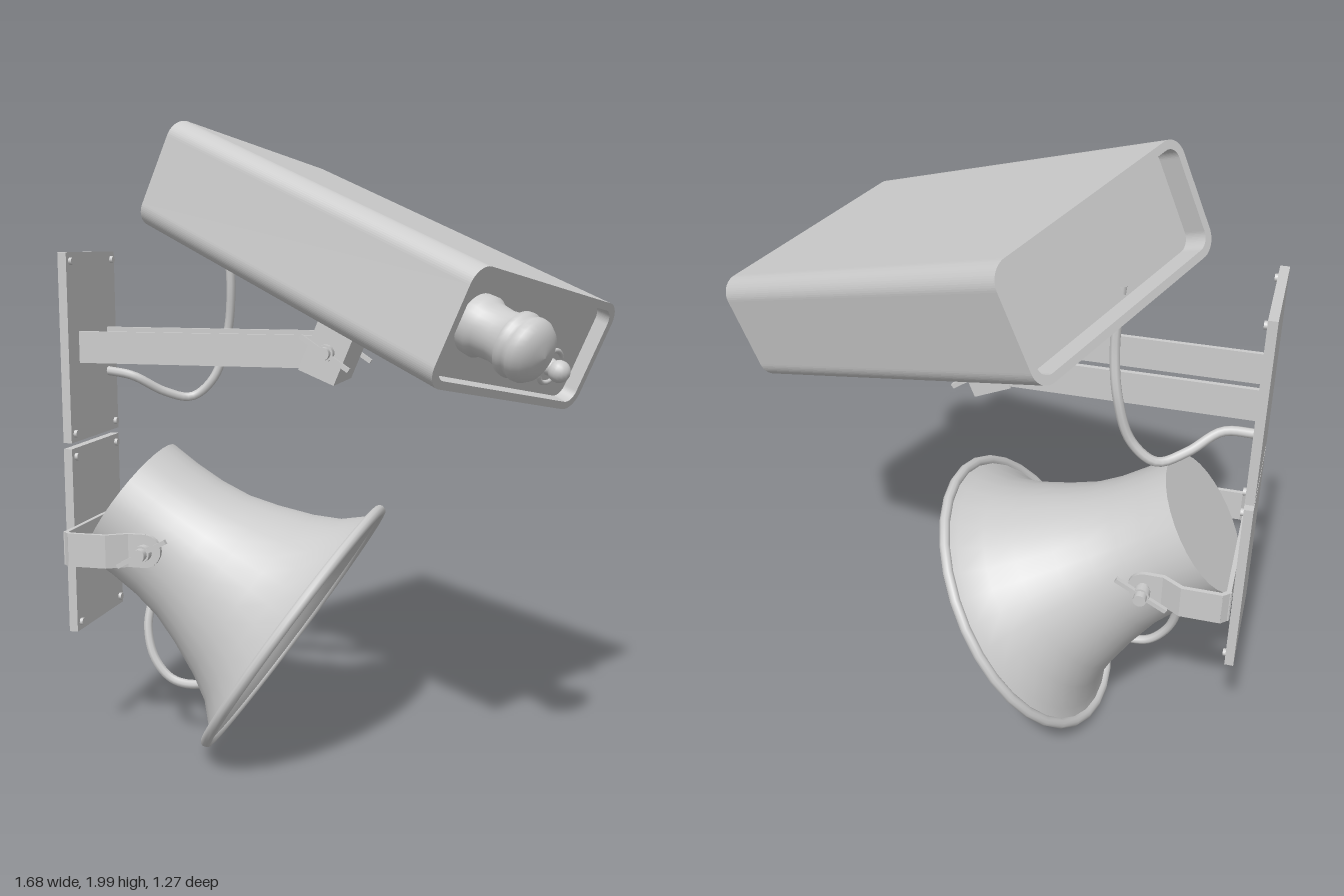
import * as THREE from 'three';

const V2 = (p) => new THREE.Vector2(p[0], p[1]);
const V3 = (p) => new THREE.Vector3(p[0], p[1], p[2]);
const MID = 0.015; // z of the mounting plane's centre line

export function createModel() {
  const root = new THREE.Group();
  const mat = new THREE.MeshStandardMaterial({ color: 0xcccccc });
  const thin = new THREE.MeshStandardMaterial({ color: 0xcccccc, side: THREE.DoubleSide });

  const add = (parent, name, geo, x = 0, y = 0, z = 0, m = mat) => {
    const mesh = new THREE.Mesh(geo, m);
    mesh.name = name;
    mesh.position.set(x, y, z);
    parent.add(mesh);
    return mesh;
  };
  const group = (parent, name, x, y, z) => {
    const g = new THREE.Group();
    g.name = name;
    g.position.set(x, y, z);
    parent.add(g);
    return g;
  };
  const box = (w, h, d) => new THREE.BoxGeometry(w, h, d);
  const lathe = (pts, n = 32) => new THREE.LatheGeometry(pts.map(V2), n);
  const cable = (pts) => new THREE.TubeGeometry(new THREE.CatmullRomCurve3(pts.map(V3)), 48, 0.015, 8);

  // Rounded rectangle outline, as a shape or as a hole
  const roundRect = (w, h, r, Type = THREE.Shape) => {
    const s = new Type(), x = w / 2 - r, y = h / 2 - r;
    s.absarc(x, y, r, 0, Math.PI / 2);
    s.absarc(-x, y, r, Math.PI / 2, Math.PI);
    s.absarc(-x, -y, r, Math.PI, Math.PI * 1.5);
    s.absarc(x, -y, r, Math.PI * 1.5, Math.PI * 2);
    s.closePath();
    return s;
  };
  // Extrusion centred on its depth and turned to run along x
  const extrudeX = (shape, depth) =>
    new THREE.ExtrudeGeometry(shape, { depth, bevelEnabled: false, curveSegments: 8 })
      .translate(0, 0, -depth / 2).rotateY(Math.PI / 2);

  // Bolt with a two-winged nut; side is the z direction it points to
  const wingNut = (x, y, z, side, angle) => {
    const g = group(root, 'wingNut', x, y, z);
    add(g, 'bolt', new THREE.CylinderGeometry(0.02, 0.02, 0.09, 14).rotateX(Math.PI / 2));
    add(g, 'nutCollar', new THREE.CylinderGeometry(0.026, 0.026, 0.025, 14).rotateX(Math.PI / 2), 0, 0, side * 0.008);
    add(g, 'wings', box(0.18, 0.014, 0.014), 0, 0, side * 0.015).rotation.z = angle;
  };

  // Wall plates with corner screws
  for (const y of [1.3, 0.687]) {
    const g = group(root, 'wallPlate', -0.825, y, MID);
    add(g, 'plate', box(0.028, 0.594, 0.364));
    for (const sy of [-1, 1]) for (const sz of [-1, 1])
      add(g, 'screw', new THREE.CylinderGeometry(0.012, 0.012, 0.012, 10).rotateZ(Math.PI / 2), 0.018, sy * 0.27, sz * 0.155);
  }

  // Camera support arms
  for (const s of [-1, 1]) add(root, 'supportArm', box(0.8, 0.1, 0.014), -0.41, 1.3, MID - 0.007 + s * 0.108);

  // Tilted swivel block under the housing
  const TILT = -0.398;
  const swivel = group(root, 'swivel', 0.107, 1.565, 0);
  swivel.rotation.z = TILT;
  add(swivel, 'swivelBlock', box(0.12, 0.19, 0.235), 0, -0.277, MID - 0.007);
  for (const s of [-1, 1]) wingNut(0, 1.3, 0.008 + s * 0.14, s, -0.6);

  // Camera: x runs towards the lens
  const cam = group(root, 'camera', 0.107, 1.565, -0.003);
  cam.rotation.set(0, -0.476, TILT, 'ZYX');
  const LEN = 1.25, W = 0.78, H = 0.345, WALL = 0.024;
  const shell = roundRect(W, H, 0.06);
  shell.holes.push(roundRect(W - 2 * WALL, H - 2 * WALL, 0.04, THREE.Path));
  add(cam, 'housing', extrudeX(shell, LEN));
  const panelFront = LEN / 2 - 0.045;
  add(cam, 'endPanels', extrudeX(roundRect(W - 2 * WALL + 0.01, H - 2 * WALL + 0.01, 0.04), LEN - 0.115), 0.0125);
  add(cam, 'mountPlate', box(0.19, 0.024, 0.19), 0, -H / 2 - 0.01, 0);

  // Lens barrel with ribbed collars and a domed front
  add(cam, 'lens', lathe([[0.085, 0], [0.087, 0.03], [0.077, 0.045], [0.073, 0.09], [0.078, 0.125], [0.09, 0.135],
    [0.092, 0.15], [0.085, 0.158], [0.085, 0.168], [0.09, 0.176], [0.088, 0.192], [0.075, 0.212], [0.045, 0.229], [0, 0.236]])
    .rotateZ(-Math.PI / 2), panelFront, 0.012, 0.225);

  // Indicator lamp in a raised ring
  add(cam, 'lampRing', new THREE.TorusGeometry(0.052, 0.008, 8, 24).rotateY(Math.PI / 2), panelFront, -0.063, -0.236);
  add(cam, 'lampStem', new THREE.CylinderGeometry(0.022, 0.028, 0.03, 16).rotateZ(-Math.PI / 2), panelFront + 0.012, -0.063, -0.236);
  add(cam, 'lamp', new THREE.SphereGeometry(0.034, 18, 12), panelFront + 0.035, -0.063, -0.236);

  // Camera cable
  add(root, 'cameraCable', cable([[-0.82, 1.205, -0.1], [-0.72, 1.19, -0.09], [-0.63, 1.135, -0.14], [-0.55, 1.115, -0.185],
    [-0.475, 1.18, -0.2], [-0.43, 1.33, -0.215], [-0.412, 1.48, -0.2], [-0.42, 1.66, -0.19]]));

  // Horn: y runs from the closed back to the mouth
  const horn = group(root, 'horn', -0.69, 0.79, MID);
  horn.rotation.z = -2.175;
  const flare = [[0.23, 0], [0.227, 0.1], [0.231, 0.2], [0.246, 0.3], [0.278, 0.4], [0.322, 0.51], [0.365, 0.59], [0.42, 0.65], [0.462, 0.674]];
  add(horn, 'hornOuter', lathe(flare), 0, 0, 0, thin);
  add(horn, 'hornInner', lathe(flare.slice(1).map(([r, a]) => [r - 0.01, a + 0.006]).reverse()), 0, 0, 0, thin);
  add(horn, 'hornBack', new THREE.CircleGeometry(0.23, 32).rotateX(Math.PI / 2));
  add(horn, 'hornFloor', new THREE.CircleGeometry(0.226, 32).rotateX(-Math.PI / 2), 0, 0.13);
  add(horn, 'hornRim', new THREE.TorusGeometry(0.461, 0.017, 10, 32).rotateX(Math.PI / 2), 0, 0.672);

  // Central reflector, with four notches holding bolts at its front
  add(horn, 'reflector', new THREE.CylinderGeometry(0.15, 0.17, 0.4, 32), 0, 0.33);
  const outline = [];
  for (let i = 0; i < 96; i++) {
    const a = (i / 96) * Math.PI * 2;
    const fromNotch = Math.abs(((a + Math.PI / 4) % (Math.PI / 2)) - 0) ;
    const d = Math.min(fromNotch, Math.PI / 2 - fromNotch);
    const r = 0.147 - 0.045 * (1 - THREE.MathUtils.smoothstep(d, 0.12, 0.3));
    outline.push(new THREE.Vector2(r * Math.cos(a), r * Math.sin(a)));
  }
  add(horn, 'reflectorFace', new THREE.ExtrudeGeometry(new THREE.Shape(outline),
    { depth: 0.07, bevelThickness: 0.012, bevelSize: 0.01, bevelOffset: -0.01, bevelSegments: 3 }).rotateX(-Math.PI / 2), 0, 0.53);
  for (let i = 0; i < 4; i++) {
    const a = Math.PI / 4 + (i * Math.PI) / 2;
    add(horn, 'reflectorBolt', new THREE.CylinderGeometry(0.018, 0.02, 0.04, 12), 0.125 * Math.cos(a), 0.55, 0.125 * Math.sin(a));
  }

  // Horn cable, looping through the flare into the reflector
  add(root, 'hornCable', cable([[-0.615, 0.49, 0.03], [-0.625, 0.38, 0.06], [-0.595, 0.28, 0.08], [-0.53, 0.215, 0.085],
    [-0.43, 0.21, 0.085], [-0.375, 0.25, 0.06], [-0.36, 0.31, 0.03], [-0.35, 0.42, 0.015]]));

  // Bent strap holding the horn: back bar and two mirrored arms
  const T = 0.014;
  const strap = group(root, 'hornBracket', 0, 0.685, MID);
  add(strap, 'strapBack', box(T, 0.105, 0.53), -0.802, 0, 0);
  for (const s of [-1, 1]) {
    const pts = [[-0.806, 0.255], [-0.785, 0.275], [-0.665, 0.275], [-0.605, 0.238], [-0.55, 0.238]];
    for (let i = 0; i < pts.length - 1; i++) {
      const [x0, z0] = pts[i], [x1, z1] = pts[i + 1];
      const bar = add(strap, 'strapArm', box(Math.hypot(x1 - x0, z1 - z0) + 0.004, 0.105, T), (x0 + x1) / 2, 0, (s * (z0 + z1)) / 2);
      bar.rotation.y = -s * Math.atan2(z1 - z0, x1 - x0);
    }
    add(strap, 'strapEnd', new THREE.CylinderGeometry(0.0525, 0.0525, T, 24).rotateX(Math.PI / 2), -0.55, 0, s * 0.238);
    wingNut(-0.545, 0.685, MID + s * 0.265, s, 0.5);
  }
  return root;
}
